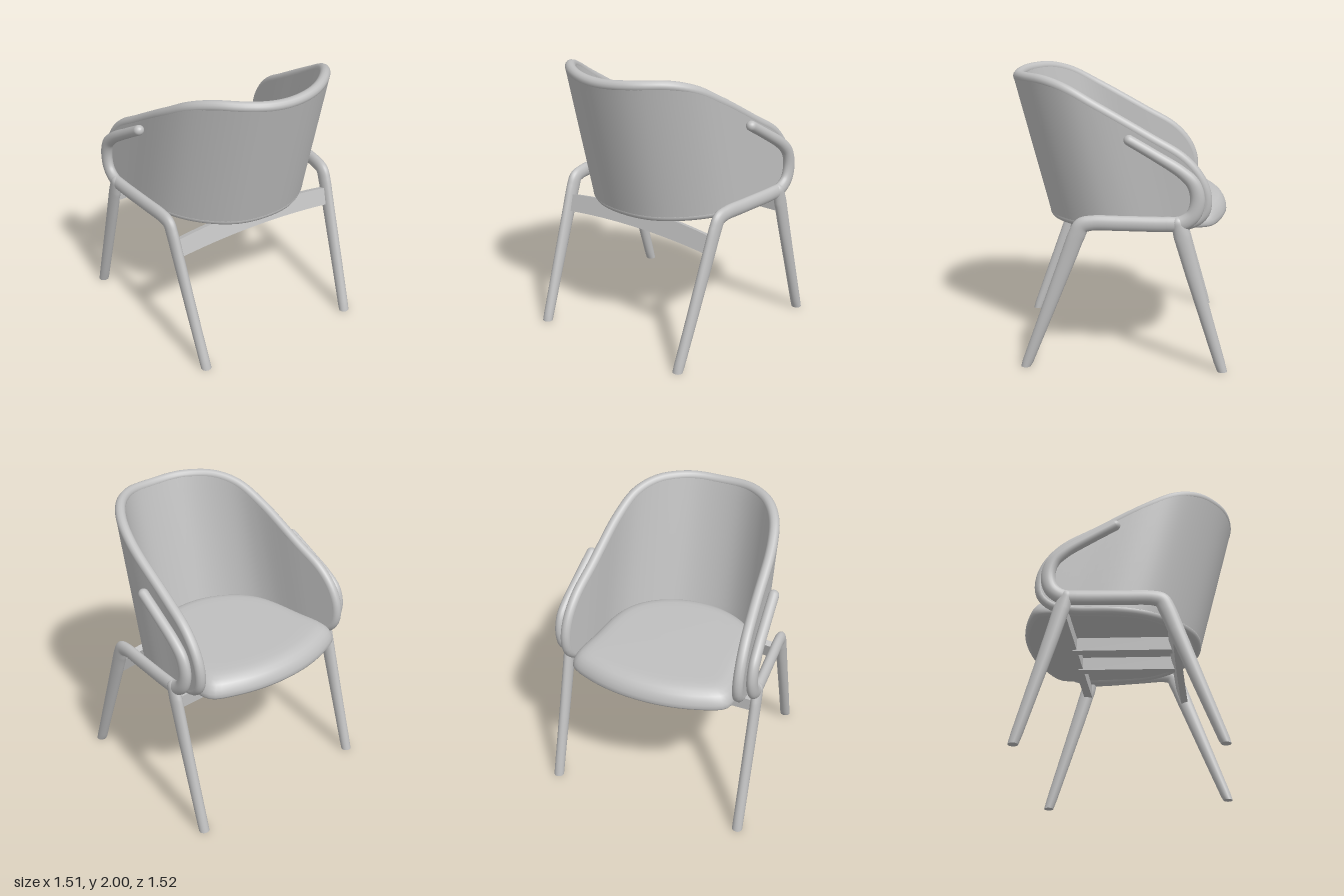
import * as THREE from 'three';

const V = (x, y, z) => new THREE.Vector3(x, y, z);
const grey = new THREE.MeshStandardMaterial({ color: 0xc0c0c0, side: THREE.DoubleSide });
grey.name = 'pale grey';

function mesh(name, geometry) {
  const m = new THREE.Mesh(geometry, grey);
  m.name = name;
  return m;
}

// Skin a list of equal-length point rings; closed rings wrap round.
function loft(rings, closed = true) {
  const n = rings[0].length, index = [];
  for (let i = 0; i < rings.length - 1; i++) {
    for (let j = 0; j < (closed ? n : n - 1); j++) {
      const k = (j + 1) % n, a = i * n + j, b = i * n + k;
      index.push(a, b, a + n, b, b + n, a + n);
    }
  }
  const g = new THREE.BufferGeometry().setFromPoints(rings.flat());
  g.setIndex(index);
  g.computeVertexNormals();
  return g;
}

// Oval bar along a path of [x, y, z, halfWidth] in an upright plane.
function sweep(path, rx, steps, roundStart) {
  const curve = new THREE.CatmullRomCurve3(path.map(p => V(p[0], p[1], p[2])), false, 'centripetal');
  const rings = [], sides = 20;
  const ring = (c, t, sx, w) => {
    const d = Math.hypot(t.y, t.z), r = [];
    for (let j = 0; j < sides; j++) {
      const a = j / sides * Math.PI * 2, q = w * Math.sin(a);
      r.push(V(c.x + sx * Math.cos(a), c.y + q * t.z / d, c.z - q * t.y / d));
    }
    rings.push(r);
  };
  const p0 = curve.getPoint(0), t0 = curve.getTangent(0), w0 = path[0][3];
  if (roundStart) {
    for (let k = 0; k < 6; k++) {
      const a = k / 6 * Math.PI / 2;
      ring(p0.clone().addScaledVector(t0, -w0 * Math.cos(a)), t0, rx * Math.sin(a), w0 * Math.sin(a));
    }
  }
  for (let i = 0; i <= steps; i++) {
    const u = i / steps, f = u * (path.length - 1), k = Math.min(Math.floor(f), path.length - 2);
    ring(curve.getPoint(u), curve.getTangent(u), rx, THREE.MathUtils.lerp(path[k][3], path[k + 1][3], f - k));
  }
  // flat foot, cut level with the floor
  const last = rings[rings.length - 1];
  last.forEach(p => { p.y = 0; });
  rings.push(last.map(p => p.clone()), last.map(() => V(path.at(-1)[0], 0, path.at(-1)[2])));
  return loft(rings);
}

// Full closed outline from half of it (first and last points on the axis).
const mirrorLoop = half => [...half, ...half.slice(1, -1).reverse().map(([a, b]) => [-a, b])];

function createShell() {
  const group = new THREE.Group();
  group.name = 'backShell';
  // horseshoe plan at seat level
  const half = [[0, .463], [.2, .43], [.37, .32], [.515, .14], [.575, -.03], [.61, -.37], [.652, -.72]];
  const pts = [...half.slice(1).reverse().map(([x, z]) => V(-x, 0, z)), ...half.map(([x, z]) => V(x, 0, z))];
  const plan = new THREE.CatmullRomCurve3(pts, false, 'centripetal');
  const length = plan.getLength();
  // outline as distance along the plan and height
  const edge = mirrorLoop([[0, 1.945], [.3, 1.96], [.5, 1.955], [.66, 1.91], [.82, 1.815], [1.158, 1.59],
    [1.33, 1.47], [1.41, 1.35], [1.43, 1.22], [1.39, 1.1], [1.3, 1.03], [1.15, 1], [.9, .995],
    [.6, .99], [.4, .987], [.2, .985], [0, .985]]);
  const outline = new THREE.CatmullRomCurve3(edge.map(([s, y]) => V(s, y, 0)), true, 'centripetal');
  const wrap = (s, y, offset) => {
    const u = THREE.MathUtils.clamp(.5 + s / length, 0, 1);
    const p = plan.getPointAt(u), t = plan.getTangentAt(u);
    return V(p.x - t.z * offset, y, p.z + t.x * offset + .26 * (y - .95));
  };
  for (const [name, offset] of [['shellOuter', .036], ['shellInner', -.036]]) {
    const rows = [];
    for (let i = 0; i <= 96; i++) {
      const a = (i / 96 - .5) / 2;
      const top = outline.getPoint((a + 1) % 1), bottom = outline.getPoint(.5 - a);
      const row = [];
      for (let j = 0; j <= 12; j++) {
        const p = top.clone().lerp(bottom, j / 12);
        row.push(wrap(p.x, p.y, offset));
      }
      rows.push(offset > 0 ? row : row.reverse());
    }
    group.add(mesh(name, loft(rows, false)));
  }
  const rim = [];
  for (let i = 0; i < 128; i++) {
    const p = outline.getPoint(i / 128);
    rim.push(wrap(p.x, p.y, 0));
  }
  const rimCurve = new THREE.CatmullRomCurve3(rim, true);
  group.add(mesh('shellRim', new THREE.TubeGeometry(rimCurve, 200, .037, 14, true)));
  return group;
}

function createSeat() {
  const half = [[0, .43], [.2, .4], [.4, .29], [.52, .14], [.565, -.02], [.585, -.3], [.6, -.55],
    [.57, -.615], [.4, -.695], [.2, -.745], [0, -.76]];
  const curve = new THREE.CatmullRomCurve3(mirrorLoop(half).map(([x, z]) => V(x, 0, z)), true, 'centripetal');
  const n = 96;
  const tilt = (x, y, z) => V(x, y - .025 * (z + .7), z);
  const ring = (inset, y) => Array.from({ length: n }, (_, j) => {
    const p = curve.getPointAt(j / n);
    return tilt(p.x * (1 - inset / .6), y, -.165 + (p.z + .165) * (1 - inset / .6));
  });
  // cushion profile: [inset, height]
  const profile = [[.6, .983], [.03, .983], [.03, .983], [.008, .99], [0, 1.005], [.002, 1.03], [.012, 1.06],
    [.03, 1.088], [.055, 1.11], [.09, 1.125], [.13, 1.131], [.2, 1.133], [.6, 1.133]];
  return mesh('seat', loft(profile.map(([i, y]) => ring(i, y))));
}

function createSideFrame(side) {
  const group = new THREE.Group();
  group.name = side > 0 ? 'leftFrame' : 'rightFrame';
  // arm, front bend, side bar and rear leg in one bar
  const arm = [[.687, 1.6, -.05, .036], [.698, 1.5, -.22, .037], [.71, 1.39, -.395, .041], [.715, 1.31, -.475, .046],
    [.716, 1.2, -.503, .05], [.716, 1.1, -.475, .051], [.712, 1.045, -.4, .052], [.705, 1.037, -.3, .052],
    [.68, 1.037, 0, .052], [.662, 1.035, .2, .052], [.656, 1.015, .265, .056], [.653, .95, .3, .058],
    [.647, .8, .357, .055], [.63, .35, .527, .044], [.615, 0, .66, .036]];
  const leg = [[.715, 1.045, -.375, .045], [.717, .95, -.405, .056], [.718, .7, -.478, .051], [.72, 0, -.69, .036]];
  const flip = path => path.map(([x, y, z, w]) => [x * side, y, z, w]);
  group.add(mesh('armAndRearLeg', sweep(flip(arm), .037, 140, true)));
  group.add(mesh('frontLeg', sweep(flip(leg), .037, 30, true)));
  return group;
}

function createRails() {
  const group = new THREE.Group();
  group.name = 'seatRails';
  // arched rear rail
  const s = new THREE.Shape();
  s.moveTo(-.65, .775);
  s.quadraticCurveTo(0, .845, .65, .775);
  s.lineTo(.65, .9);
  s.quadraticCurveTo(0, .99, -.65, .9);
  const g = new THREE.ExtrudeGeometry(s, { depth: .05, bevelEnabled: false, curveSegments: 24 });
  g.translate(0, -.85, -.025);
  const rear = mesh('rearRail', g);
  rear.position.set(0, .85, .335);
  rear.rotation.x = -.3;
  group.add(rear);
  // front rail and two lengthwise slats
  const front = mesh('frontRail', new THREE.BoxGeometry(1.42, .09, .06));
  front.position.set(0, .93, -.4);
  group.add(front);
  for (const x of [-.17, .17]) {
    const slat = mesh('slat', new THREE.BoxGeometry(.07, .1, .72));
    slat.position.set(x, .918, -.04);
    slat.rotation.x = .025;
    group.add(slat);
  }
  return group;
}

export function createModel() {
  const model = new THREE.Group();
  model.name = 'armchair';
  model.add(createShell(), createSeat(), createSideFrame(1), createSideFrame(-1), createRails());
  return model;
}
